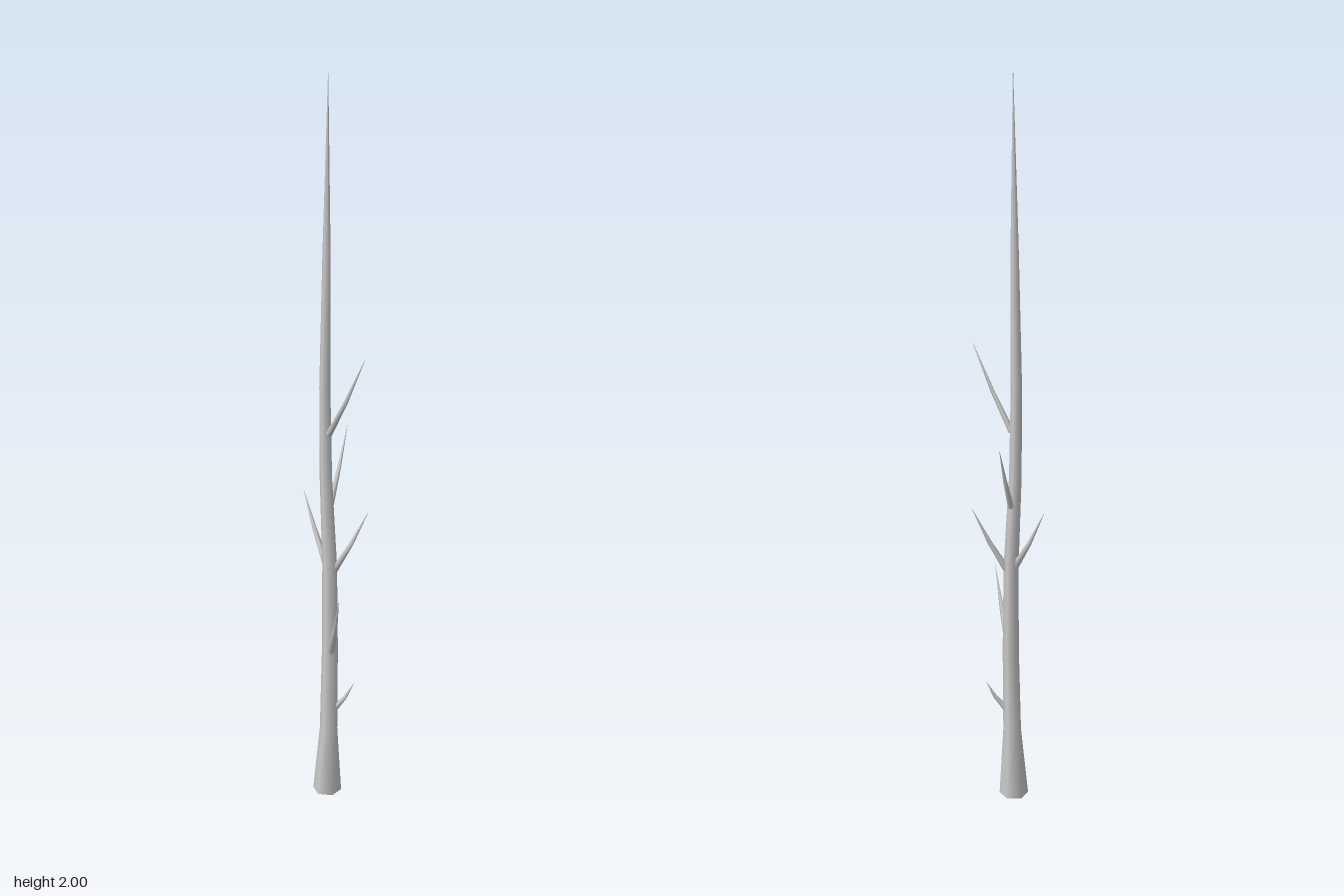
import * as THREE from 'three';

const material = new THREE.MeshStandardMaterial({ color: 0xcccccc });

// Loft horizontal-ish rings along sections [x, y, z, radius]; the last one is the tip
function taperedLimb(name, sections, sides, tilt = 0) {
  const pos = [], idx = [];
  const centres = sections.map(([x, y, z]) => new THREE.Vector3(x, y, z));
  const axis = centres.at(-1).clone().sub(centres[0]).normalize();
  const turn = new THREE.Quaternion();
  if (tilt) turn.setFromUnitVectors(new THREE.Vector3(0, 1, 0), axis);
  sections.forEach((s, i) => {
    for (let j = 0; j < sides; j++) {
      const a = 0.24 + (j / sides) * Math.PI * 2;
      const p = new THREE.Vector3(Math.cos(a), 0, Math.sin(a)).multiplyScalar(s[3]);
      p.applyQuaternion(turn).add(centres[i]);
      pos.push(p.x, p.y, p.z);
      if (i === 0) continue;
      const k = (j + 1) % sides, lo = (i - 1) * sides, hi = i * sides;
      idx.push(lo + j, hi + j, lo + k, lo + k, hi + j, hi + k);
    }
  });
  // Separate base cap, so its edge stays sharp
  const first = pos.length / 3;
  pos.push(...pos.slice(0, sides * 3));
  for (let j = 1; j < sides - 1; j++) idx.push(first, first + j, first + j + 1);

  const geometry = new THREE.BufferGeometry();
  geometry.setAttribute('position', new THREE.Float32BufferAttribute(pos, 3));
  geometry.setIndex(idx);
  geometry.computeVertexNormals();
  const mesh = new THREE.Mesh(geometry, material);
  mesh.name = name;
  return mesh;
}

// Short spike with a slight upward bow
function branch(name, root, tip, radius) {
  const a = new THREE.Vector3(...root), b = new THREE.Vector3(...tip);
  const mid = a.clone().lerp(b, 0.5);
  mid.y -= 0.008;
  return taperedLimb(name, [
    [...a.toArray(), radius],
    [...mid.toArray(), radius * 0.62],
    [...b.toArray(), 0.0004],
  ], 5, 1);
}

export function createModel() {
  const group = new THREE.Group();
  group.name = 'bareTree';

  // Flared, slightly bent trunk
  group.add(taperedLimb('trunk', [
    [-0.029, 0, -0.016, 0.040],
    [-0.025, 0.2, -0.011, 0.0245],
    [-0.021, 0.45, -0.009, 0.022],
    [-0.021, 0.7, -0.012, 0.020],
    [-0.030, 0.95, -0.019, 0.0165],
    [-0.032, 1.2, -0.020, 0.0145],
    [-0.027, 1.55, -0.018, 0.0105],
    [-0.022, 2.0, -0.017, 0.0004],
  ], 6));

  // Branches: root, tip, root radius
  const branches = [
    [[-0.008, 0.265, -0.006], [0.045, 0.348, 0.006], 0.009],
    [[-0.019, 0.445, 0.002], [-0.007, 0.648, 0.108], 0.011],
    [[-0.010, 0.685, -0.009], [0.080, 0.862, 0.012], 0.010],
    [[-0.031, 0.700, -0.022], [-0.083, 0.882, -0.113], 0.010],
    [[-0.018, 0.870, -0.023], [0.034, 1.062, -0.103], 0.009],
    [[-0.023, 1.075, -0.010], [0.063, 1.302, 0.065], 0.009],
  ];
  branches.forEach(([root, tip, r], i) => group.add(branch(`branch${i + 1}`, root, tip, r)));
  return group;
}
